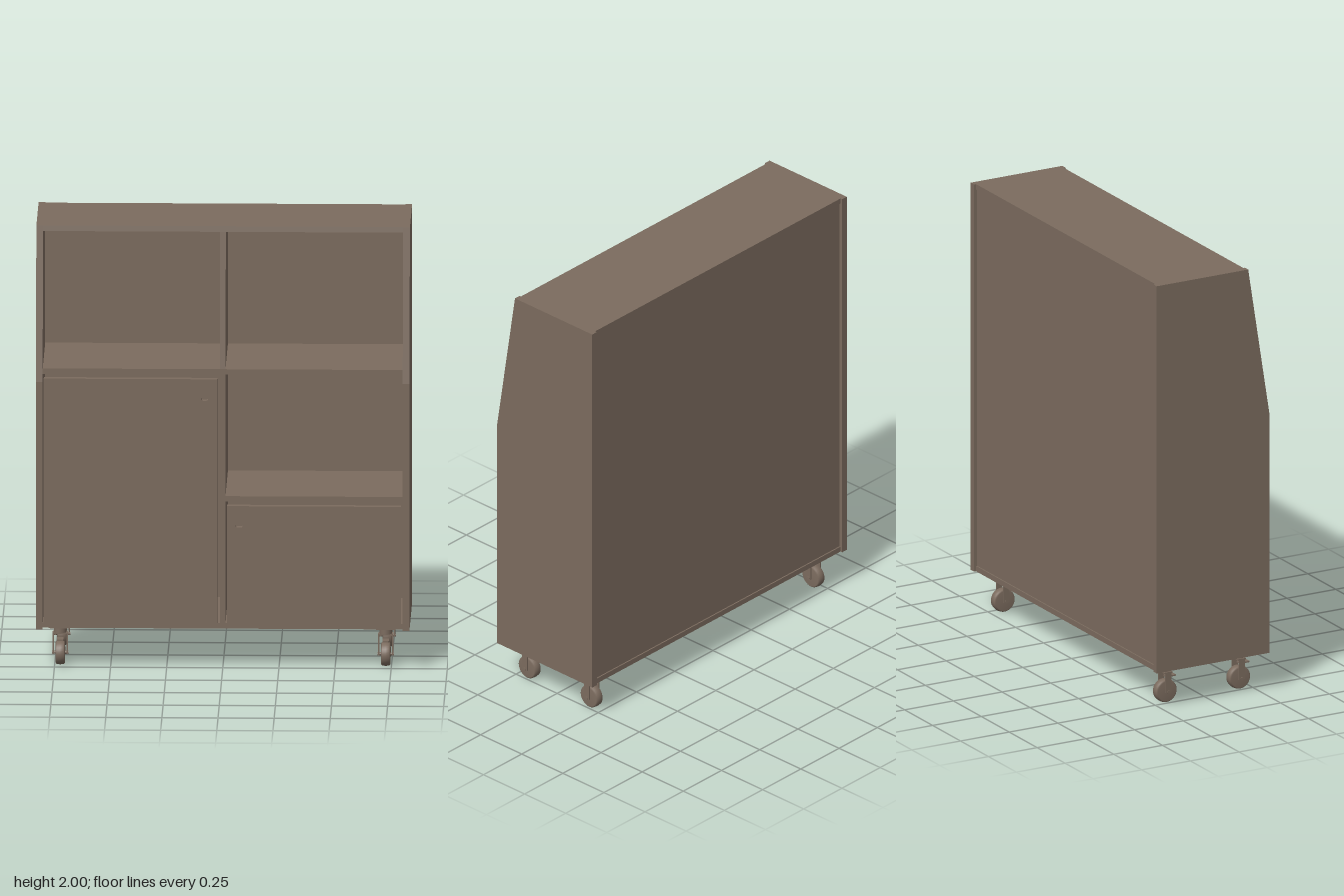
import * as THREE from 'three';

export function createModel() {
  const root = new THREE.Group();
  root.name = 'cabinet';
  const wood = new THREE.MeshStandardMaterial({ color: 0x7b6b5e });
  wood.name = 'brown';

  const add = (name, geometry, parent = root) => {
    const mesh = new THREE.Mesh(geometry, wood);
    mesh.name = name;
    parent.add(mesh);
    return mesh;
  };
  // Box from its minimum and maximum corners
  const box = (name, x0, x1, y0, y1, z0, z1, parent) => {
    const g = new THREE.BoxGeometry(x1 - x0, y1 - y0, z1 - z0);
    g.translate((x0 + x1) / 2, (y0 + y1) / 2, (z0 + z1) / 2);
    return add(name, g, parent);
  };
  // Upright board: a (z, y) outline given thickness along x
  const upright = (name, points, x0, x1) => {
    const shape = new THREE.Shape(points.map(([z, y]) => new THREE.Vector2(-z, y)));
    const g = new THREE.ExtrudeGeometry(shape, { depth: x1 - x0, bevelEnabled: false });
    g.rotateY(Math.PI / 2).translate(x0, 0, 0);
    return add(name, g);
  };

  // Side panels with a sloping upper front edge
  const sideOutline = [[-0.29, 0.18], [0.288, 0.18], [0.288, 1.31], [0.18, 2], [-0.29, 2]];
  upright('rightSide', sideOutline, -0.832, -0.802);
  upright('leftSide', sideOutline, 0.802, 0.832);

  // Carcass boards
  box('bottomBoard', -0.802, 0.802, 0.18, 0.205, -0.28, 0.253);
  box('middleShelf', -0.802, 0.802, 1.34, 1.365, -0.27, 0.253);
  box('lowerShelf', 0.012, 0.802, 0.76, 0.785, -0.27, 0.253);
  upright('topBoard', [[-0.28, 1.975], [0.176, 1.975], [0.172, 2], [-0.28, 2]], -0.802, 0.802);
  box('backPanel', -0.802, 0.802, 0.205, 1.975, -0.274, -0.262);

  // Dividers
  box('lowerDivider', -0.013, 0.012, 0.205, 1.34, -0.262, 0.253);
  upright('upperDivider', [[-0.262, 1.365], [0.25, 1.365], [0.176, 1.975], [-0.262, 1.975]], -0.013, 0.012);

  // Doors with a rounded finger slot
  const door = (name, x0, x1, y0, y1, slotX, slotY) => {
    const shape = new THREE.Shape();
    shape.moveTo(x0, y0).lineTo(x1, y0).lineTo(x1, y1).lineTo(x0, y1).closePath();
    const w = 0.016, h = 0.028, r = 0.008;
    const slot = new THREE.Path();
    slot.moveTo(slotX - w + r, slotY - h);
    slot.absarc(slotX - w + r, slotY - h + r, r, -Math.PI / 2, Math.PI, true);
    slot.absarc(slotX - w + r, slotY + h - r, r, Math.PI, Math.PI / 2, true);
    slot.absarc(slotX + w - r, slotY + h - r, r, Math.PI / 2, 0, true);
    slot.absarc(slotX + w - r, slotY - h + r, r, 0, -Math.PI / 2, true);
    shape.holes.push(slot);
    const g = new THREE.ExtrudeGeometry(shape, { depth: 0.03, bevelEnabled: false, curveSegments: 5 });
    add(name, g.translate(0, 0, 0.26));
  };
  door('tallDoor', -0.797, -0.024, 0.213, 1.327, -0.08, 1.257);
  door('shortDoor', 0.02, 0.795, 0.213, 0.748, 0.073, 0.678);

  // Casters
  const cyl = (name, r, h, y, parent) =>
    add(name, new THREE.CylinderGeometry(r, r, h, 24).translate(0, y, 0), parent);
  const caster = (x, z) => {
    const c = new THREE.Group();
    c.name = 'caster';
    c.position.set(x, 0, z);
    root.add(c);
    box('mountPlate', -0.044, 0.044, 0.172, 0.18, -0.044, 0.044, c);
    cyl('swivel', 0.028, 0.026, 0.16, c);
    box('forkCrown', -0.034, 0.034, 0.141, 0.148, -0.02, 0.02, c);
    for (const s of [-1, 1]) {
      const x0 = s * 0.031;
      box('forkLeg', x0 - 0.003, x0 + 0.003, 0.05, 0.146, -0.015, 0.015, c);
    }
    // Tyre with slightly rounded shoulders
    const tyre = new THREE.LatheGeometry(
      [[0, -0.021], [0.046, -0.021], [0.052, -0.016], [0.054, 0], [0.052, 0.016], [0.046, 0.021], [0, 0.021]]
        .map(([r, y]) => new THREE.Vector2(r, y)), 32);
    add('wheel', tyre.rotateZ(Math.PI / 2).translate(0, 0.054, 0), c);
    const axle = new THREE.CylinderGeometry(0.007, 0.007, 0.074, 12);
    add('axle', axle.rotateZ(Math.PI / 2).translate(0, 0.054, 0), c);
    box('brakeTab', -0.014, 0.014, 0.117, 0.123, 0, 0.05, c);
  };
  for (const x of [-0.725, 0.725]) for (const z of [-0.187, 0.19]) caster(x, z);

  return root;
}
